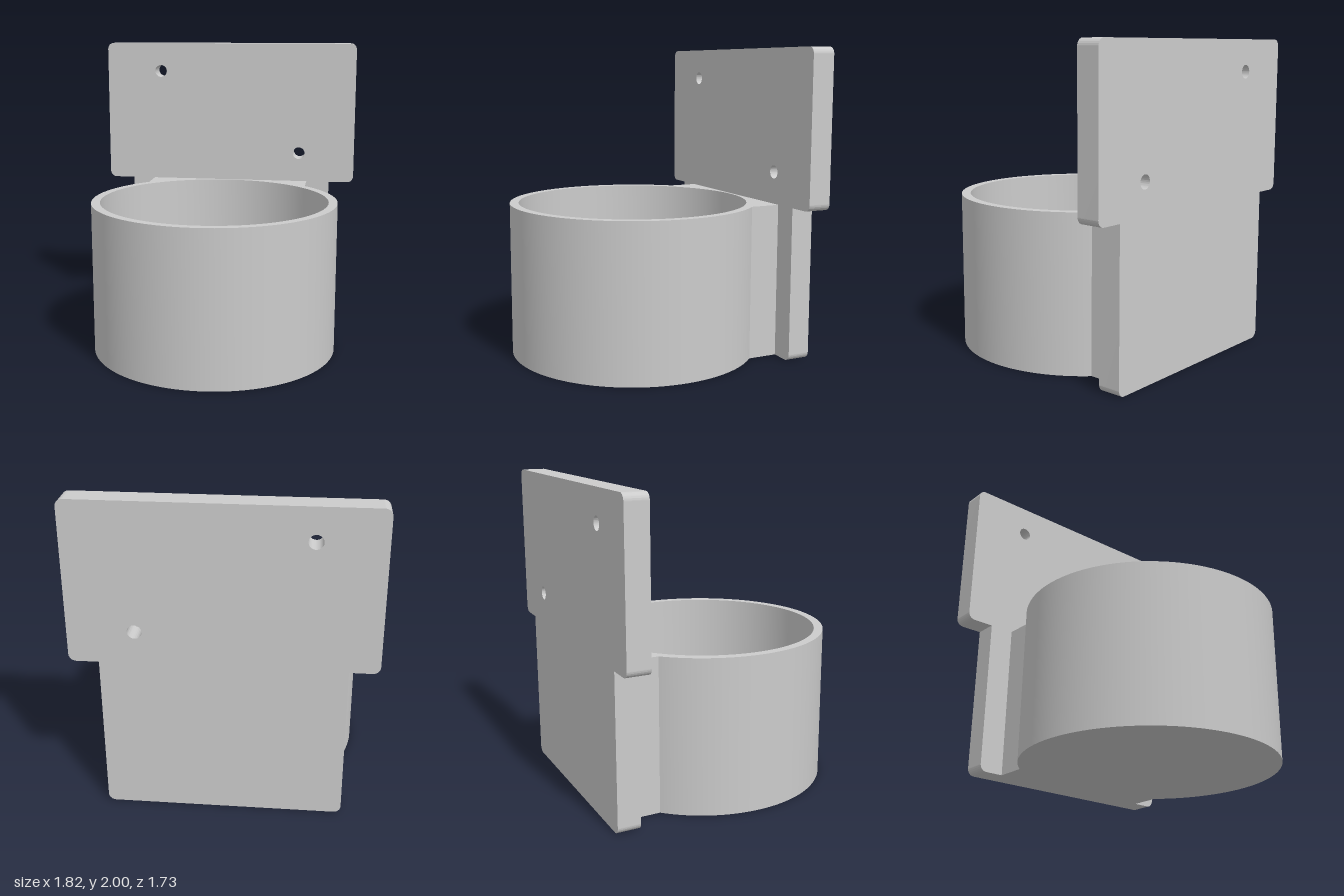
import * as THREE from 'three';
import { toCreasedNormals } from 'three/addons/utils/BufferGeometryUtils.js';

const material = new THREE.MeshStandardMaterial({ color: 0xcccccc });

function addMesh(parent, name, geometry) {
  const mesh = new THREE.Mesh(geometry, material);
  mesh.name = name;
  parent.add(mesh);
  return mesh;
}

function extrude(shape, depth) {
  const g = new THREE.ExtrudeGeometry(shape, { depth, bevelEnabled: false, curveSegments: 96 });
  return toCreasedNormals(g, Math.PI / 6);
}

function circleHole(x, y, r) {
  const path = new THREE.Path();
  path.absarc(x, y, r, 0, Math.PI * 2, true);
  return path;
}

export function createModel() {
  const group = new THREE.Group();
  group.name = 'cupHolder';

  const outerR = 0.81, innerR = 0.752, cupZ = 0.055, cupHeight = 1, floor = 0.055;
  const neckX = 0.57, plateFront = -0.717, plateBack = -0.865;

  // Cup wall and neck share one counter-clockwise plan outline (shape y = -z)
  const a = Math.acos(neckX / outerR);
  const plan = new THREE.Shape();
  plan.moveTo(neckX, -plateFront);
  plan.lineTo(-neckX, -plateFront);
  plan.absarc(0, -cupZ, outerR, Math.PI - a, 2 * Math.PI + a, false);
  plan.closePath();
  plan.holes.push(circleHole(0, -cupZ, innerR));
  addMesh(group, 'cupWallAndNeck', extrude(plan, cupHeight).rotateX(-Math.PI / 2));

  // Cup floor: inside face and underside
  const disc = () => new THREE.CircleGeometry(innerR, 192);
  addMesh(group, 'cupFloor', disc().rotateX(-Math.PI / 2)).position.set(0, floor, cupZ);
  addMesh(group, 'cupUnderside', disc().rotateX(Math.PI / 2)).position.set(0, 0, cupZ);

  // Back plate: wide upper half, narrower lower half, rounded corners, two screw holes
  const W = 0.91, w = 0.73, r = 0.045, top = 2, step = 1, q = Math.PI / 2;
  const plate = new THREE.Shape();
  plate.moveTo(-w, step);
  plate.absarc(-w + r, r, r, 2 * q, 3 * q, false);
  plate.absarc(w - r, r, r, -q, 0, false);
  plate.lineTo(w, step);
  plate.absarc(W - r, step + r, r, -q, 0, false);
  plate.absarc(W - r, top - r, r, 0, q, false);
  plate.absarc(-W + r, top - r, r, q, 2 * q, false);
  plate.absarc(-W + r, step + r, r, 2 * q, 3 * q, false);
  plate.lineTo(-w, step);
  plate.holes.push(circleHole(-0.513, 1.797, 0.043), circleHole(0.51, 1.207, 0.043));
  addMesh(group, 'backPlate', extrude(plate, plateFront - plateBack)).position.z = plateBack;

  return group;
}
